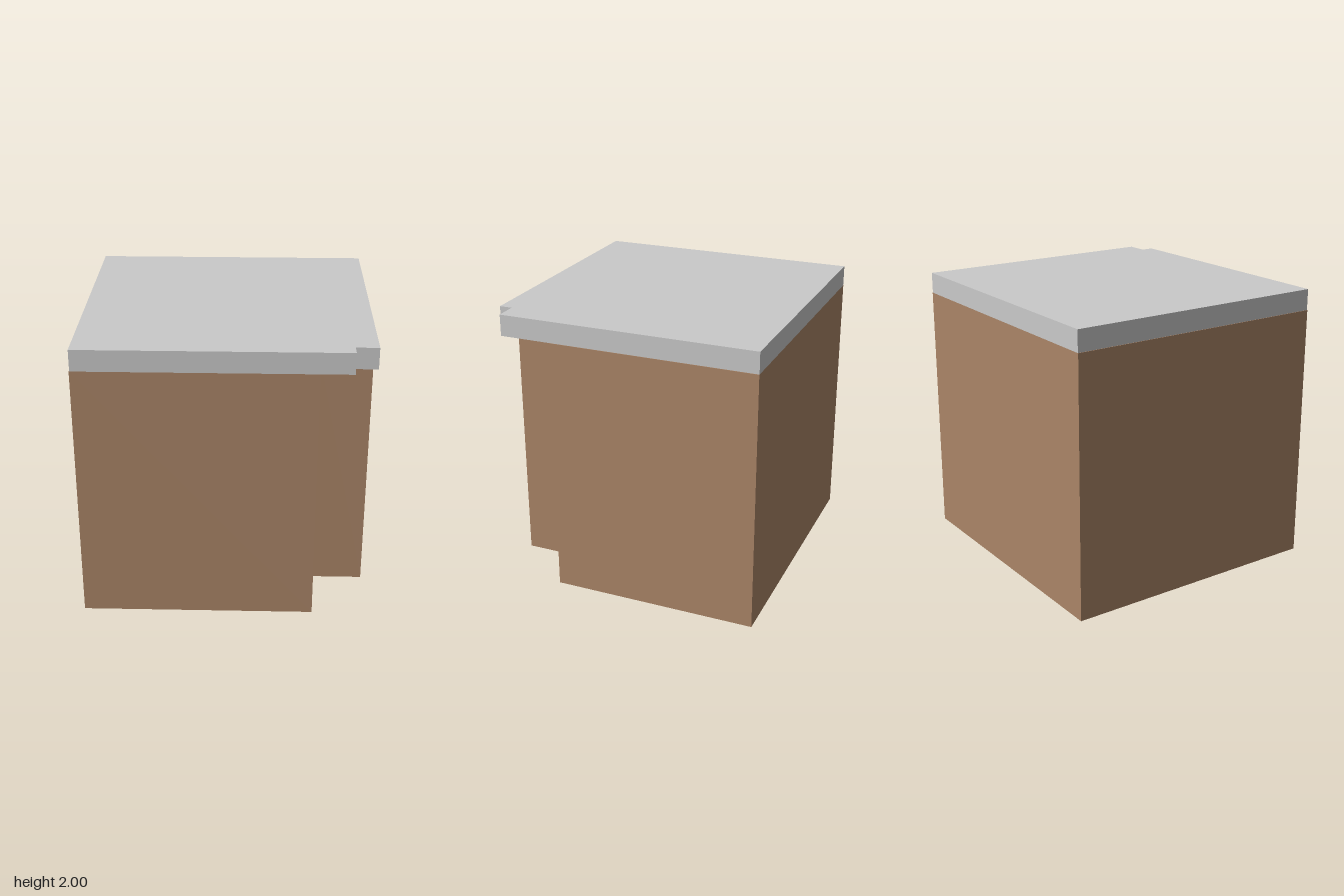
import * as THREE from 'three';

const brown = new THREE.MeshStandardMaterial({ name: 'brown wall', color: 0xaa8567 });
const grey = new THREE.MeshStandardMaterial({ name: 'light grey roof', color: 0xc9c9c9 });

// Upright block whose front left corner (+x, +z) is cut away
function notchedBlock(name, material, halfX, halfZ, notchX, notchZ, bottom, top) {
  const plan = new THREE.Shape([
    [-halfX, -halfZ], [notchX, -halfZ], [notchX, -notchZ],
    [halfX, -notchZ], [halfX, halfZ], [-halfX, halfZ],
  ].map(([x, y]) => new THREE.Vector2(x, y)));
  const geometry = new THREE.ExtrudeGeometry(plan, { depth: top - bottom, bevelEnabled: false });
  geometry.rotateX(-Math.PI / 2).translate(0, bottom, 0);
  const mesh = new THREE.Mesh(geometry, material);
  mesh.name = name;
  return mesh;
}

export function createModel() {
  const model = new THREE.Group();
  model.name = 'building';
  // Walls with a recessed corner, and a flat roof overhanging the recess
  model.add(
    notchedBlock('walls', brown, 1, 0.96, 0.62, 0.51, 0, 1.85),
    notchedBlock('roof', grey, 0.996, 0.96, 0.84, 0.87, 1.85, 2),
  );
  return model;
}
